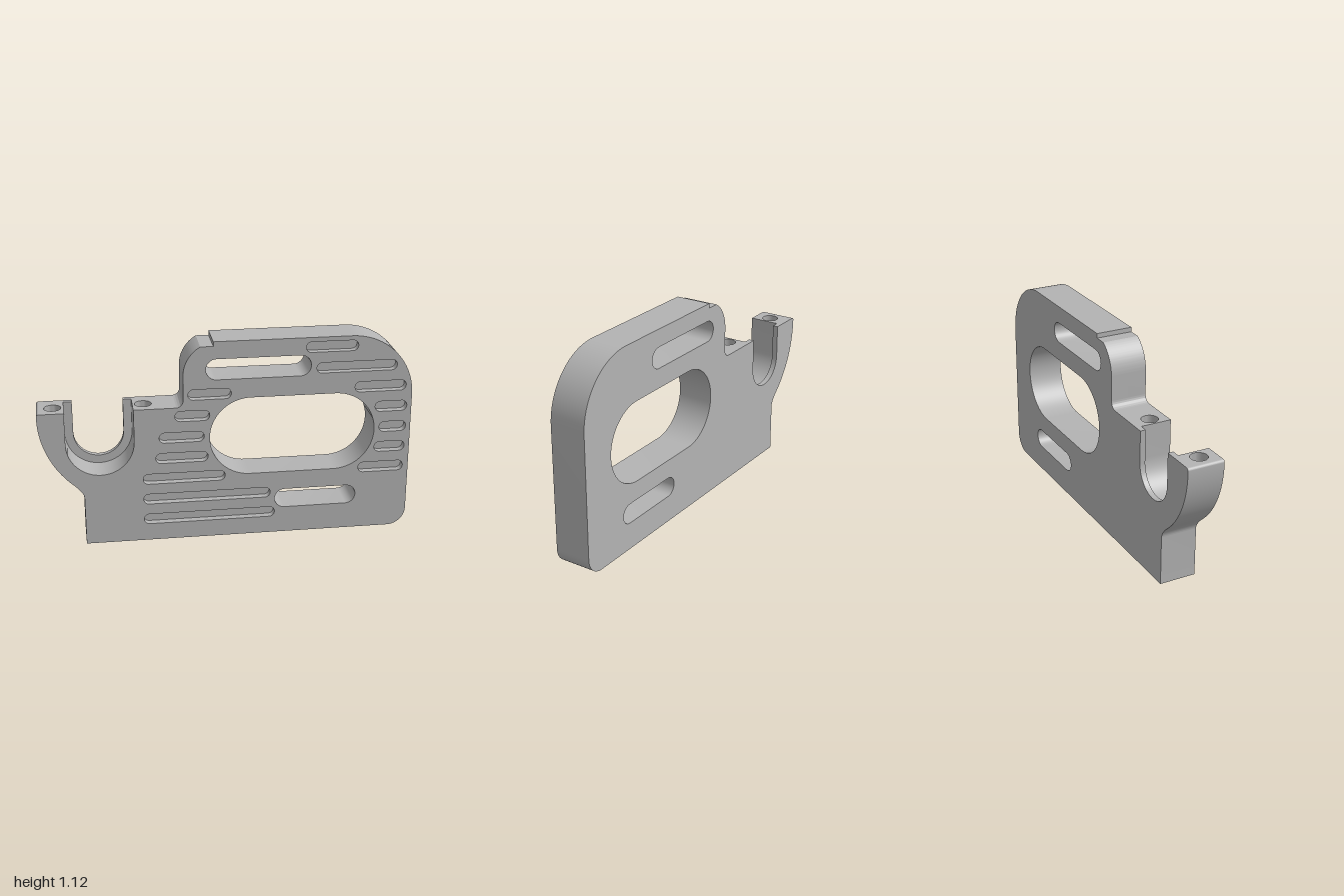
import * as THREE from 'three';
import { toCreasedNormals } from 'three/addons/utils/BufferGeometryUtils.js';

const BACK = -0.1, FRONT = 0.1, LIP = -0.07, FLOOR = 0.06, EAR = 0.76;
const V = (x, y) => new THREE.Vector2(x, y);

// Closed slot with round ends, counter-clockwise
function slot(x0, x1, y, r) {
  const p = new THREE.Path();
  p.absarc(x1 - r, y, r, -Math.PI / 2, Math.PI / 2, false);
  p.absarc(x0 + r, y, r, Math.PI / 2, Math.PI * 1.5, false);
  return p.getPoints(r > 0.1 ? 20 : 8);
}

// U-shaped saddle, walked from the right ear to the left one
function saddle(r) {
  const p = new THREE.Path();
  p.moveTo(-0.677 + r, EAR);
  p.lineTo(-0.677 + r, 0.58);
  p.absarc(-0.677, 0.58, r, 0, -Math.PI, true);
  p.lineTo(-0.677 - r, EAR);
  return p.getPoints(20);
}

// Wall along a path, with the solid on the left of the walking direction
function wall(pts, z0, z1, closed = false) {
  const path = closed ? [...pts, pts[0]] : pts;
  const pos = [];
  for (let i = 0; i < path.length - 1; i++) {
    const a = path[i], b = path[i + 1];
    if (a.distanceTo(b) < 1e-6) continue;
    pos.push(a.x, a.y, z0, b.x, b.y, z0, b.x, b.y, z1);
    pos.push(a.x, a.y, z0, b.x, b.y, z1, a.x, a.y, z1);
  }
  const g = new THREE.BufferGeometry();
  g.setAttribute('position', new THREE.Float32BufferAttribute(pos, 3));
  return toCreasedNormals(g, 0.5);
}

// Flat face with holes
function face(pts, holes = []) {
  const s = new THREE.Shape(pts);
  holes.forEach(h => s.holes.push(new THREE.Path(h)));
  return new THREE.ShapeGeometry(s);
}

const circle = (x, y, r) => new THREE.Path().absarc(x, y, r, 0, Math.PI * 2).getPoints(16).slice(0, -1);

// Blind drilled hole opening upwards, with a conical end
function bore(r, depth) {
  return toCreasedNormals(
    new THREE.LatheGeometry([V(r, 0), V(r, -depth), V(0, -depth - r * 0.5)], 32).toNonIndexed(), 0.5);
}

export function createModel() {
  const group = new THREE.Group();
  const metal = new THREE.MeshStandardMaterial({ color: 0xb3b3b3 });
  metal.name = 'plain grey metal';
  const add = (name, geometry) => {
    const m = new THREE.Mesh(geometry, metal);
    m.name = name;
    group.add(m);
    return m;
  };

  // Outline of the right side and top, from the base to the right ear
  const body = new THREE.Path();
  body.absarc(0.9, 0.1, 0.1, -Math.PI / 2, 0, false);
  body.absarc(0.66, 0.775, 0.34, 0, Math.PI / 2, false);
  body.lineTo(-0.075, 1.115);
  body.lineTo(-0.075, 1.09);
  body.absarc(-0.05, 0.93, 0.185, Math.PI - Math.asin(0.16 / 0.185), Math.PI, false);
  body.absarc(-0.275, 0.8, 0.04, 0, -Math.PI / 2, true);
  const bodyPts = body.getPoints(16);

  // Outline of the hook, from the left ear down to the base
  const hook = new THREE.Path();
  hook.moveTo(-0.985, EAR);
  hook.quadraticCurveTo(-1, EAR, -1, 0.745);
  hook.absarc(-0.48, 0.74, 0.52, Math.PI, Math.PI + 0.837, false);
  hook.quadraticCurveTo(-0.77, 0.303, -0.77, 0.27);
  hook.lineTo(-0.77, 0);
  const hookPts = hook.getPoints(16);

  const wide = saddle(0.18), narrow = saddle(0.135);

  // Through openings
  const openings = [
    slot(-0.095, 0.8, 0.58, 0.219),
    slot(-0.115, 0.445, 0.963, 0.057),
    slot(0.26, 0.71, 0.203, 0.054),
  ];

  // Shallow grooves in the front: start x, end x, height
  const grooves = [
    [0.415, 0.695, 1.062], [0.475, 0.91, 0.945],
    [-0.21, 0.02, 0.828], [0.685, 0.965, 0.828],
    [-0.28, -0.095, 0.711], [0.8, 0.975, 0.711],
    [-0.365, -0.125, 0.593], [0.827, 0.975, 0.593],
    [-0.385, -0.105, 0.477], [0.805, 0.973, 0.477],
    [-0.455, -0.013, 0.36], [0.72, 0.97, 0.36],
    [-0.455, 0.235, 0.243], [-0.455, 0.26, 0.125],
  ].map(([a, b, y]) => slot(a, b, y, 0.029));

  // Front and back faces
  add('frontFace', face([...bodyPts, ...wide, ...hookPts], [...openings, ...grooves])
    .translate(0, 0, FRONT));
  const flip = pts => pts.map(p => V(-p.x, p.y));
  add('backFace', face(flip([...bodyPts, ...narrow, ...hookPts]), openings.map(flip))
    .rotateY(Math.PI).translate(0, 0, BACK));

  // Edge walls
  add('bodyEdge', wall(bodyPts, BACK, FRONT));
  add('hookEdge', wall(hookPts, BACK, FRONT));
  add('saddleWall', wall(wide, LIP, FRONT));
  add('saddleLipWall', wall(narrow, BACK, LIP));
  add('saddleLipFace', face([...wide, ...[...narrow].reverse()]).translate(0, 0, LIP));
  openings.forEach(o => add('openingWall', wall([...o].reverse(), BACK, FRONT, true)));
  grooves.forEach(g => {
    add('grooveWall', wall([...g].reverse(), FLOOR, FRONT, true));
    add('grooveFloor', face(g).translate(0, 0, FLOOR));
  });

  // Drilled tops of the two ears
  const ears = [
    { out: -0.985, main: -0.857, lip: -0.812, hole: -0.915 },
    { out: -0.275, main: -0.497, lip: -0.542, hole: -0.44 },
  ];
  ears.forEach(({ out, main, lip, hole }) => {
    const pts = [V(out, -FRONT), V(main, -FRONT), V(main, -LIP), V(lip, -LIP), V(lip, -BACK), V(out, -BACK)];
    add('earTop', face(pts, [circle(hole, -0.01, 0.045)]).rotateX(-Math.PI / 2).translate(0, EAR, 0));
    add('earBore', bore(0.045, 0.15)).position.set(hole, EAR, 0.01);
  });

  // Drilled underside
  const feet = [-0.68, 0.85];
  const base = [V(-0.77, BACK), V(0.9, BACK), V(0.9, FRONT), V(-0.77, FRONT)];
  add('underside', face(base, feet.map(x => circle(x, 0, 0.043))).rotateX(Math.PI / 2));
  feet.forEach(x => {
    add('footBore', bore(0.043, 0.2).rotateX(Math.PI)).position.set(x, 0, 0);
  });

  return group;
}
